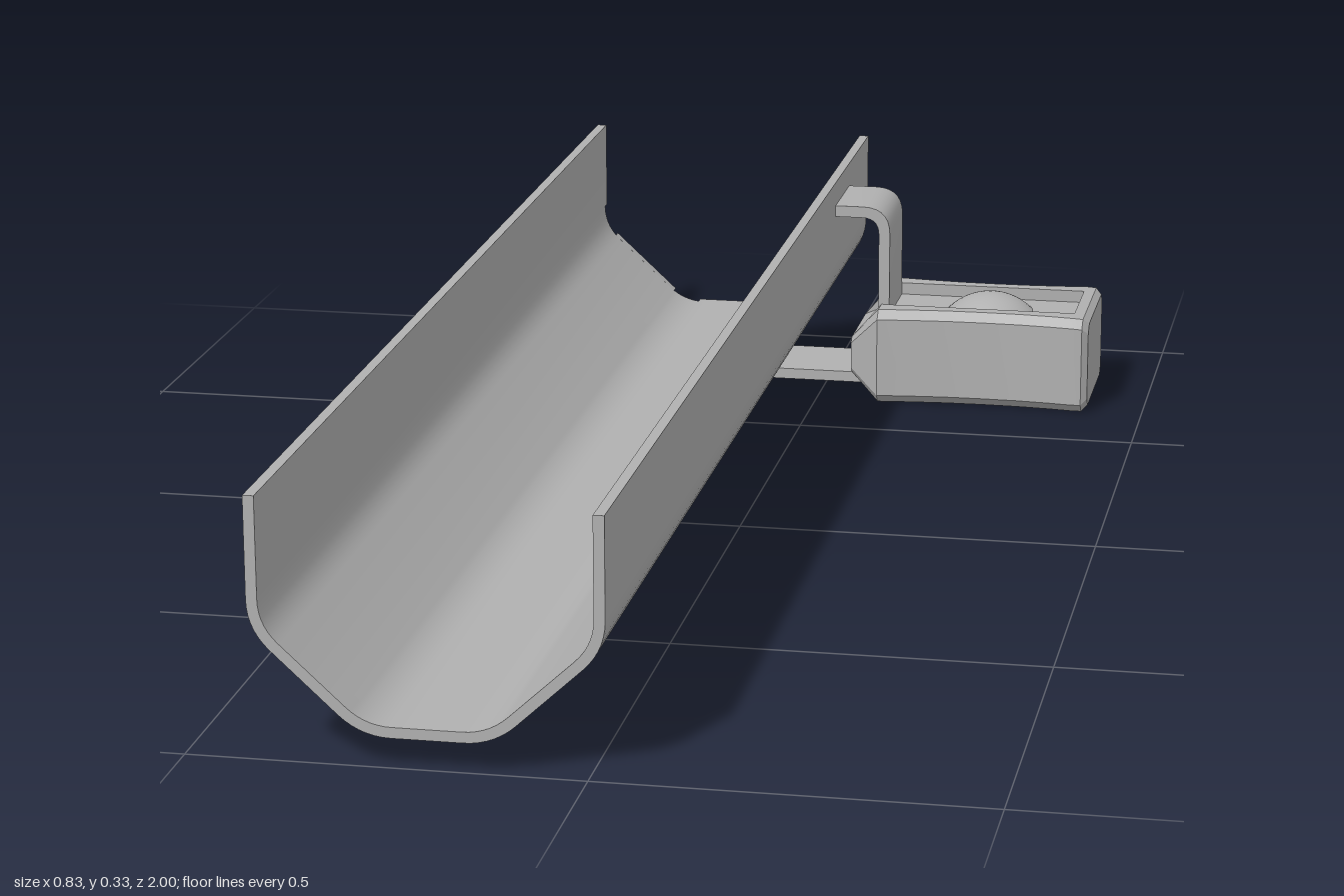
import * as THREE from 'three';
import { toCreasedNormals } from 'three/addons/utils/BufferGeometryUtils.js';

const MID = -0.197;  // centre of the trough in x
const CLIP_Z = -0.745; // centre of the clamp in z

// Polyline with rounded inner corners; p = [x, y, cut length]
function roundedPath(pts) {
  const out = [];
  pts.forEach(([x, y, cut = 0], i) => {
    const p = new THREE.Vector2(x, y);
    if (!cut) return out.push(p);
    const toward = q => p.clone().add(new THREE.Vector2(q[0], q[1]).sub(p).setLength(cut));
    const curve = new THREE.QuadraticBezierCurve(toward(pts[i - 1]), p, toward(pts[i + 1]));
    out.push(...curve.getPoints(7));
  });
  return out;
}

// Outline in x, y pulled along z
function prism(points, z0, z1) {
  const geo = new THREE.ExtrudeGeometry(new THREE.Shape(points), { depth: z1 - z0, bevelEnabled: false });
  geo.translate(0, 0, z0);
  return toCreasedNormals(geo, 0.5);
}

const vec = list => list.map(([x, y]) => new THREE.Vector2(x, y));

// Clamp body: notched cross-sections lofted along x
function bodyGeometry() {
  const r = 0.066;
  // x, half width, bottom, top, bevel, grooved
  const stations = [
    [0.05, 0.077, 0.04, 0.095, 0.008, true],
    [0.095, 0.11, 0.002, 0.148, 0.013, true],
    [0.15, 0.104, 0.002, 0.148, 0.013, true],
    [0.2, 0.1, 0.002, 0.148, 0.013, true],
    [0.255, 0.099, 0.002, 0.148, 0.013, true],
    [0.31, 0.1, 0.002, 0.148, 0.013, true],
    [0.36, 0.104, 0.002, 0.148, 0.013, true],
    [0.392, 0.108, 0.002, 0.148, 0.013, true],
    [0.392, 0.108, 0.002, 0.148, 0.013, false],
    [0.408, 0.108, 0.002, 0.147, 0.013, false],
    [0.417, 0.099, 0.01, 0.139, 0.013, false],
  ];
  const rings = stations.map(([x, w, y0, y1, b, grooved]) => {
    const ft = grooved ? Math.min(y1, 0.115) : y1;
    const fb = grooved ? Math.max(y0, 0.038) : y0;
    return [
      [w, y0 + b], [w, y1 - b], [w - b, y1], [r, y1], [r, ft], [-r, ft], [-r, y1], [b - w, y1],
      [-w, y1 - b], [-w, y0 + b], [b - w, y0], [-r, y0], [-r, fb], [r, fb], [r, y0], [w - b, y0],
    ].map(([z, y]) => new THREE.Vector3(x, y, z + CLIP_Z));
  });
  const tris = [];
  const n = rings[0].length;
  for (let i = 0; i < rings.length - 1; i++) {
    for (let j = 0; j < n; j++) {
      const k = (j + 1) % n;
      const [a, b, c, d] = [rings[i][j], rings[i][k], rings[i + 1][j], rings[i + 1][k]];
      tris.push(a, c, b, b, c, d);
    }
  }
  // Flat end caps
  const first = rings[0], last = rings[rings.length - 1];
  for (let j = 1; j < n - 1; j++) {
    tris.push(first[0], first[j], first[j + 1]);
    tris.push(last[0], last[j + 1], last[j]);
  }
  const geo = new THREE.BufferGeometry().setFromPoints(tris);
  geo.computeVertexNormals();
  return toCreasedNormals(geo, 0.5);
}

export function createModel() {
  const model = new THREE.Group();
  const metal = new THREE.MeshStandardMaterial({ color: 0xb0b0b0 });
  metal.name = 'light grey metal';
  const add = (name, geo, parent = model) => {
    const mesh = new THREE.Mesh(geo, metal);
    mesh.name = name;
    parent.add(mesh);
    return mesh;
  };

  // Open trough with rounded folds
  const trough = new THREE.Group();
  trough.name = 'trough';
  model.add(trough);
  const flip = ([x, y, c]) => [2 * MID - x, y, c];
  const outer = [[-0.417, 0.336], [-0.417, 0.168, 0.038], [-0.279, 0.04, 0.038]];
  const inner = [[-0.403, 0.336], [-0.403, 0.174, 0.033], [-0.273, 0.054, 0.033]];
  const outline = [
    ...roundedPath([...outer, ...outer.map(flip).reverse()]),
    ...roundedPath([...inner, ...inner.map(flip).reverse()]).reverse(),
  ];
  add('troughShell', prism(outline, -0.985, 1), trough);

  // End tabs between the small notches at the folds
  const wall = [[-0.417, 0.205], [-0.403, 0.205], [-0.403, 0.336], [-0.417, 0.336]];
  const slope = [[-0.395, 0.1476], [-0.300, 0.0595], [-0.2905, 0.0702], [-0.3855, 0.158]];
  const floor = [[-0.25, 0.04], [-0.144, 0.04], [-0.144, 0.054], [-0.25, 0.054]];
  for (const [name, tab] of [['wallTab', wall], ['slopeTab', slope]]) {
    add(name + 'Right', prism(vec(tab), -1, -0.985), trough);
    add(name + 'Left', prism(vec(tab.map(flip)), -1, -0.985), trough);
  }
  add('floorTab', prism(vec(floor), -1, -0.985), trough);

  // Clamp on the side of the trough
  const clamp = new THREE.Group();
  clamp.name = 'clamp';
  model.add(clamp);
  add('clampBody', bodyGeometry(), clamp);

  const z0 = CLIP_Z - 0.066, z1 = CLIP_Z + 0.066;
  const strap = [
    ...roundedPath([[0.02, 0.3], [0.107, 0.3, 0.042], [0.107, 0.13], [0.392, 0.13], [0.392, 0.115]]),
    ...roundedPath([[0.09, 0.115], [0.09, 0.283, 0.026], [0.02, 0.283]]),
  ];
  add('upperStrap', prism(strap, z0, z1), clamp);
  add('lowerPlate', prism(vec([[-0.232, 0.022], [0.392, 0.022], [0.392, 0.038], [-0.232, 0.038]]), z0, z1), clamp);

  // Domed bolt head and its hollow end underneath
  const radius = 0.0917;
  const dome = new THREE.SphereGeometry(radius, 32, 8, 0, Math.PI * 2, 0, 0.788);
  add('boltHead', dome, clamp).position.set(0.255, 0.157 - radius, CLIP_Z);
  const ring = new THREE.LatheGeometry(
    vec([[0.022, 0.024], [0.022, 0.01], [0.036, 0.01], [0.036, 0.024]]), 28);
  add('boltEnd', toCreasedNormals(ring, 0.5), clamp).position.set(0.255, 0, CLIP_Z);

  return model;
}
